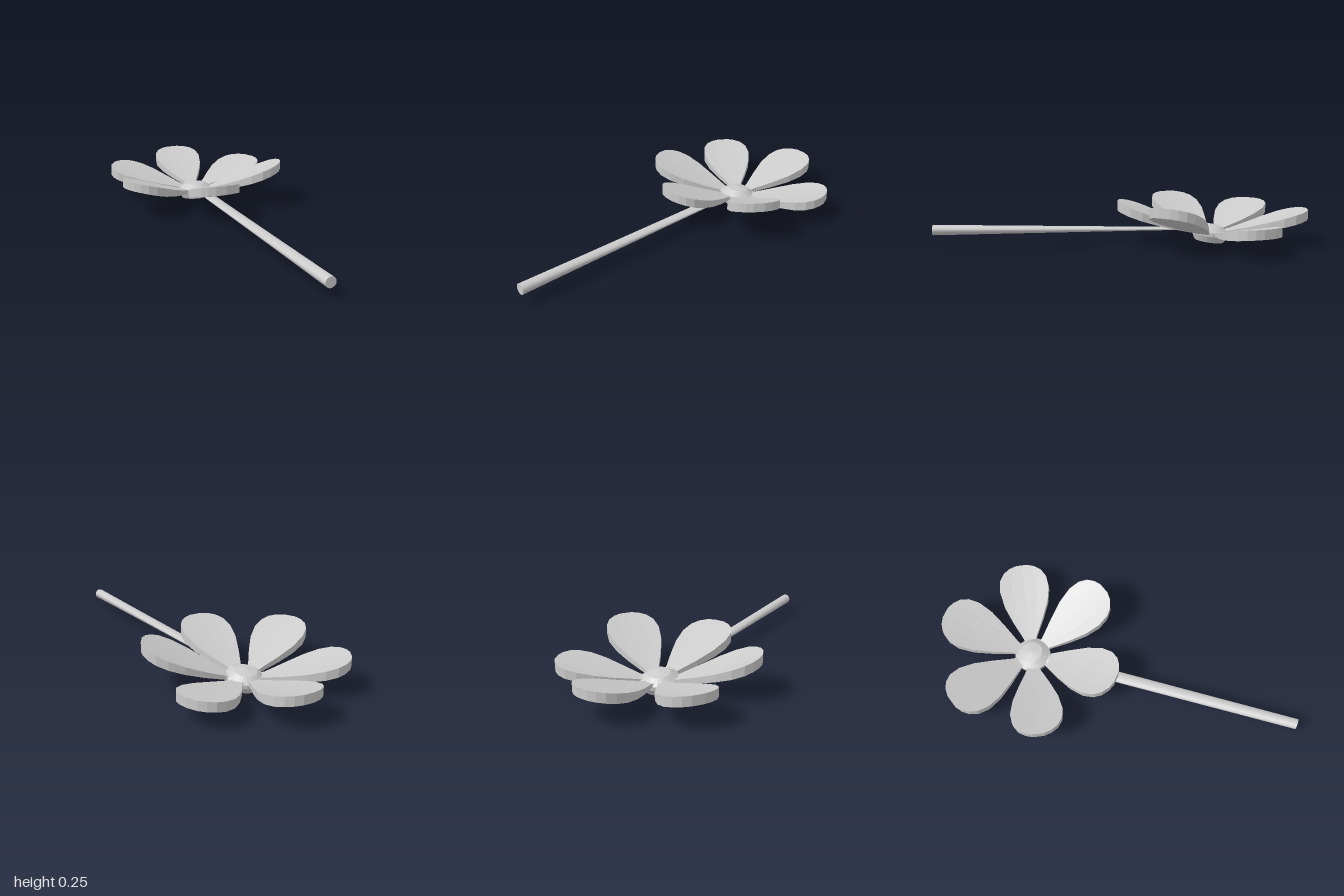
import * as THREE from 'three';

const facetMat = new THREE.MeshStandardMaterial({ color: 0xcccccc, flatShading: true });
const smoothMat = new THREE.MeshStandardMaterial({ color: 0xcccccc });

// half-width of a petal at each distance from the flower's centre: [distance, half-width]
const OUTLINE = [[0.04, 0.02], [0.1, 0.037], [0.2, 0.085], [0.29, 0.122], [0.37, 0.138],
  [0.43, 0.13], [0.47, 0.105], [0.495, 0.07], [0.508, 0.03]];

// a wedge-like petal that widens, thickens and rises towards its tip (pointing along +z)
function petalGeometry(tipHeight) {
  const n = OUTLINE.length - 1;
  const geo = new THREE.BoxGeometry(1, 1, 1, 4, 1, n);
  const p = geo.attributes.position;
  for (let i = 0; i < p.count; i++) {
    const [r, w] = OUTLINE[Math.round((p.getZ(i) + 0.5) * n)];
    const s = (r - 0.04) / 0.468;
    const x = p.getX(i) * 2 * w;
    const thick = 0.016 + 0.034 * Math.min(1, s * 1.3);
    const top = 0.06 + (tipHeight - 0.06) * Math.pow(s, 1.1) + 0.4 * x * x;
    p.setXYZ(i, x, top - (p.getY(i) < 0 ? thick : 0), r);
  }
  geo.computeVertexNormals();
  return geo;
}

export function createModel() {
  const group = new THREE.Group();

  const blossom = new THREE.Group();
  blossom.name = 'blossom';
  blossom.position.set(-0.015, 0, -0.49);
  group.add(blossom);

  // six petals, each tilted up by its own amount, starting at the front
  [0.225, 0.25, 0.155, 0.188, 0.185, 0.22].forEach((h, i) => {
    const petal = new THREE.Mesh(petalGeometry(h), facetMat);
    petal.name = 'petal';
    petal.rotation.y = -0.07 + i * Math.PI / 3;
    blossom.add(petal);
  });

  // domed centre on a flared base, leaning slightly back
  const profile = [[0, 0], [0.08, 0], [0.098, 0.035], [0.098, 0.055], [0.06, 0.083], [0, 0.092]]
    .map(([x, y]) => new THREE.Vector2(x, y));
  const centre = new THREE.Mesh(new THREE.LatheGeometry(profile, 24), facetMat);
  centre.name = 'flowerCentre';
  centre.position.set(0, 0.011, 0.012);
  centre.rotation.x = -0.13;
  blossom.add(centre);

  // stem: round at the free end, flattened where it meets the flower
  const geo = new THREE.CylinderGeometry(1, 1, 1, 20, 1);
  geo.rotateX(Math.PI / 2);
  const p = geo.attributes.position;
  for (let i = 0; i < p.count; i++) {
    const t = p.getZ(i) + 0.5;
    p.setXYZ(i,
      THREE.MathUtils.lerp(-0.02, 0.046, t) + p.getX(i) * THREE.MathUtils.lerp(0.033, 0.028, t),
      THREE.MathUtils.lerp(0.076, 0.08, t) + p.getY(i) * THREE.MathUtils.lerp(0.004, 0.028, t),
      THREE.MathUtils.lerp(-0.46, 1, t));
  }
  // smooth sides only, keeping the caps crisp
  geo.computeVertexNormals();
  const stem = new THREE.Mesh(geo, smoothMat);
  stem.name = 'stem';
  group.add(stem);

  return group;
}
